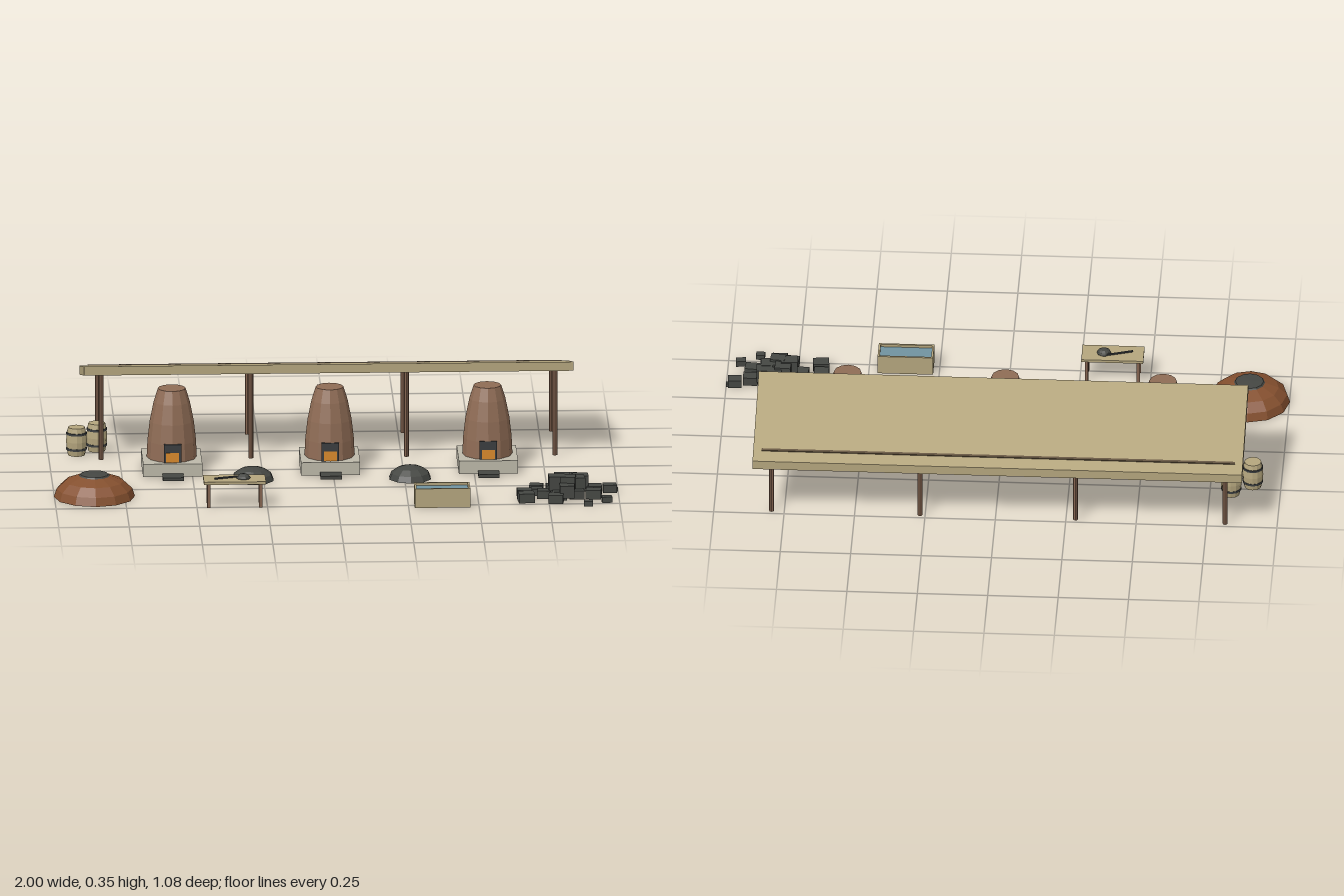
import * as THREE from 'three';

const mat = (name, color, side = THREE.FrontSide) => {
  const m = new THREE.MeshStandardMaterial({ color, side, flatShading: true });
  m.name = name;
  return m;
};

export function createModel() {
  const wood = mat('paleWood', 0xb5a67e);
  const timber = mat('brownTimber', 0x83634f);
  const clay = mat('furnaceClay', 0x8f6c55);
  const stone = mat('paleStone', 0xbdb9aa);
  const earth = mat('redEarth', 0x85502f, THREE.DoubleSide);
  const coal = mat('charcoal', 0x454743, THREE.DoubleSide);
  const iron = mat('darkIron', 0x3a3d3f);
  const glow = mat('glow', 0xd9892b);
  const water = mat('water', 0x7193a0);
  const seam = mat('roofSeam', 0x64543f);

  const root = new THREE.Group();
  const group = (name, x = 0, z = 0) => {
    const g = new THREE.Group();
    g.name = name;
    g.position.set(x, 0, z);
    root.add(g);
    return g;
  };
  const add = (parent, name, geo, material, x = 0, y = 0, z = 0) => {
    const m = new THREE.Mesh(geo, material);
    m.name = name;
    m.position.set(x, y, z);
    parent.add(m);
    return m;
  };
  // y is the underside of the box
  const box = (parent, name, material, w, h, d, x, y, z) =>
    add(parent, name, new THREE.BoxGeometry(w, h, d), material, x, y + h / 2, z);
  const lathe = (pts, sides) =>
    new THREE.LatheGeometry(pts.map(p => new THREE.Vector2(...p)), sides);
  // round bar between two points
  const bar = (parent, name, material, a, b, r, sides = 8) => {
    const p = new THREE.Vector3(...a), q = new THREE.Vector3(...b);
    const m = add(parent, name, new THREE.CylinderGeometry(r, r, p.distanceTo(q), sides), material);
    m.position.copy(p).add(q).multiplyScalar(0.5);
    m.quaternion.setFromUnitVectors(new THREE.Vector3(0, 1, 0), q.sub(p).normalize());
    return m;
  };

  // Sloping roof with upright front and back edges
  const shelter = group('shelter');
  const roofTop = z => 0.353 + (z + 0.118) * 0.265;
  const roofShape = new THREE.Shape([
    new THREE.Vector2(0.118, 0.32), new THREE.Vector2(0.538, 0.209),
    new THREE.Vector2(0.538, 0.242), new THREE.Vector2(0.118, 0.353)]);
  const roofGeo = new THREE.ExtrudeGeometry(roofShape, { depth: 1.738, bevelEnabled: false });
  roofGeo.rotateY(Math.PI / 2);
  add(shelter, 'roof', roofGeo, wood, -0.878, 0, 0);
  const strip = box(shelter, 'roofSeam', seam, 1.68, 0.006, 0.01, -0.01, roofTop(-0.485) - 0.002, -0.485);
  strip.rotation.x = -Math.atan(0.265);

  // Two rows of posts
  for (const x of [-0.815, -0.284, 0.268, 0.795])
    for (const z of [-0.161, -0.48]) {
      const h = roofTop(z) - 0.025;
      add(shelter, 'post', new THREE.CylinderGeometry(0.009, 0.009, h, 8), timber, x, h / 2, z);
    }

  // Three clay furnaces on stone plinths
  const stackGeo = lathe([[0, 0.045], [0.089, 0.045], [0.086, 0.11], [0.078, 0.18],
    [0.064, 0.25], [0.049, 0.298], [0, 0.298]], 12);
  for (const x of [-0.57, -0.01, 0.55]) {
    const f = group('furnace', x, -0.021);
    box(f, 'plinth', stone, 0.21, 0.047, 0.21, 0, 0, 0);
    add(f, 'stack', stackGeo, clay);
    box(f, 'fireDoor', iron, 0.062, 0.066, 0.02, 0, 0.047, 0.078);
    box(f, 'fireGlow', glow, 0.046, 0.034, 0.004, 0, 0.049, 0.089);
    box(f, 'slagTray', coal, 0.075, 0.012, 0.08, 0, 0, 0.122);
    bar(f, 'airPipe', timber, [0, 0.068, -0.08], [0, 0.034, -0.172], 0.01);
  }

  // Red earth mound with a charcoal cap
  const kiln = group('earthMound', -0.858, 0.335);
  add(kiln, 'moundShell', lathe([[0.144, 0], [0.134, 0.03], [0.104, 0.058], [0.055, 0.077], [0, 0.08]], 12), earth);
  add(kiln, 'moundCap', lathe([[0.057, 0.075], [0.05, 0.082], [0, 0.085]], 12), coal);

  // Low charcoal heaps
  for (const x of [-0.288, 0.27])
    add(group('charcoalHeap', x, 0.13), 'heap',
      lathe([[0.077, 0], [0.068, 0.021], [0.044, 0.038], [0.02, 0.045], [0, 0.046]], 10), coal);

  // Work table with a bloom and a rod
  const table = group('workTable', -0.366, 0.469);
  box(table, 'tableTop', wood, 0.22, 0.01, 0.099, 0, 0.088, 0);
  for (const sx of [-1, 1])
    for (const sz of [-1, 1])
      box(table, 'tableLeg', timber, 0.012, 0.088, 0.012, sx * 0.092, 0, sz * 0.034);
  const bloom = add(table, 'bloom', new THREE.SphereGeometry(0.025, 10, 6), coal, 0.032, 0.1, 0);
  bloom.scale.y = 0.6;
  bar(table, 'rod', iron, [-0.07, 0.101, 0.012], [0.022, 0.101, -0.018], 0.004, 6);

  // Water trough
  const trough = group('trough', 0.37, 0.49);
  box(trough, 'troughFloor', wood, 0.197, 0.01, 0.088, 0, 0, 0);
  for (const s of [-1, 1]) {
    box(trough, 'troughSide', wood, 0.197, 0.07, 0.007, 0, 0, s * 0.0405);
    box(trough, 'troughEnd', wood, 0.007, 0.07, 0.074, s * 0.095, 0, 0);
  }
  box(trough, 'water', water, 0.183, 0.05, 0.074, 0, 0.01, 0);

  // Two hooped barrels
  const barrelGeo = lathe([[0, 0], [0.03, 0], [0.035, 0.026], [0.037, 0.051],
    [0.035, 0.076], [0.03, 0.102], [0, 0.102]], 12);
  for (const [x, z] of [[-0.9, -0.226], [-0.826, -0.28]]) {
    const b = group('barrel', x, z);
    add(b, 'staves', barrelGeo, wood);
    for (const y of [0.024, 0.08])
      add(b, 'hoop', new THREE.CylinderGeometry(0.0365, 0.0365, 0.008, 12), iron, 0, y, 0);
  }

  // Pile of charcoal blocks: x, z, size, underside height
  const pile = group('charcoalPile');
  const blocks = [
    [0.71, 0.335, 0.046, 0], [0.665, 0.408, 0.05, 0], [0.67, 0.462, 0.054, 0], [0.71, 0.372, 0.04, 0],
    [0.78, 0.40, 0.056, 0.028], [0.775, 0.477, 0.05, 0], [0.815, 0.45, 0.05, 0.012], [0.83, 0.34, 0.05, 0.022],
    [0.80, 0.365, 0.054, 0.026], [0.865, 0.355, 0.054, 0.02], [0.91, 0.42, 0.052, 0], [0.915, 0.36, 0.05, 0],
    [0.955, 0.477, 0.034, 0], [0.888, 0.524, 0.03, 0], [0.97, 0.341, 0.046, 0], [0.82, 0.41, 0.05, 0.034],
    [0.77, 0.35, 0.05, 0], [0.85, 0.39, 0.056, 0.02], [0.79, 0.43, 0.05, 0], [0.85, 0.42, 0.05, 0],
    [0.735, 0.41, 0.046, 0], [0.99, 0.335, 0.02, 0]];
  blocks.forEach(([x, z, s, y], i) => {
    box(pile, 'block', coal, s * 1.05, s * (y > 0 ? 0.9 : 0.62), s * 0.85, x, y, z).rotation.y = ((i * 7) % 5 - 2) * 0.05;
  });

  return root;
}
